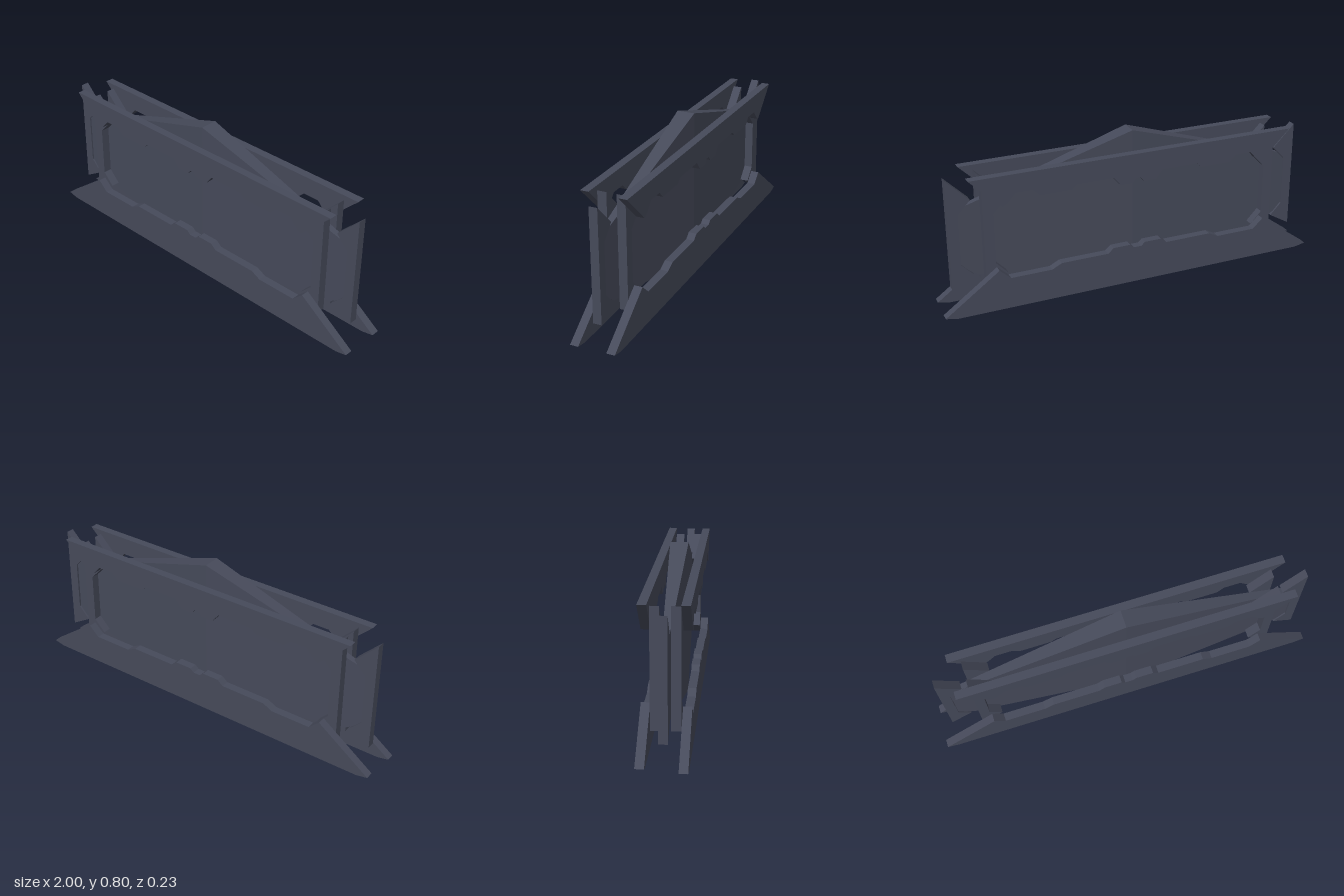
import * as THREE from 'three';

export function createModel() {
  const model = new THREE.Group();
  model.name = 'armouredPanel';
  const steel = new THREE.MeshStandardMaterial({ color: 0x464a5a, flatShading: true });
  steel.name = 'slate steel';

  // Extrude an outline between two depths
  const plate = (name, points, z0, z1, dx = 0, dy = 0) => {
    const shape = new THREE.Shape(points.map(([x, y]) => new THREE.Vector2(x + dx, y + dy)));
    const geo = new THREE.ExtrudeGeometry(shape, { depth: z1 - z0, bevelEnabled: false });
    geo.translate(0, 0, z0);
    const mesh = new THREE.Mesh(geo, steel);
    mesh.name = name;
    model.add(mesh);
    return mesh;
  };
  const flip = (pts) => pts.map(([x, y]) => [-x, y]);
  // Full outline from its right half
  const mirrored = (half) => [...half, ...flip(half).reverse()];

  // Stepped rails along the top and bottom, one pair in front and one behind
  const topRail = mirrored([
    [0.012, 0.577], [0.03, 0.555], [0.095, 0.555], [0.13, 0.599], [0.32, 0.599],
    [0.345, 0.576], [0.505, 0.576], [0.54, 0.61], [0.625, 0.61], [0.665, 0.565],
    [0.69, 0.55], [0.848, 0.703],
  ]);
  const bottomRail = mirrored([
    [0.02, 0.192], [0.04, 0.21], [0.13, 0.21], [0.16, 0.185], [0.405, 0.185],
    [0.455, 0.16], [0.665, 0.16], [0.72, 0.211], [0.995, 0.012], [0.935, 0],
  ]);
  plate('frontTopRail', topRail, 0.074, 0.115, -0.003);
  plate('backTopRail', topRail, -0.115, -0.073, 0.003);
  plate('frontBottomRail', bottomRail, 0.074, 0.115, -0.005);
  plate('backBottomRail', bottomRail, -0.115, -0.073, 0.005, 0.011);

  // Notched uprights: inner posts beside the core and outer end plates
  const upright = [
    [0.78, 0.115], [0.78, 0.683], [0.665, 0.568], [0.73, 0.5], [0.73, 0.24], [0.67, 0.178],
  ];
  for (const [side, pts, sign] of [['left', upright, 1], ['right', flip(upright), -1]]) {
    plate(side + 'FrontPost', pts, 0.025, 0.07, -0.003);
    plate(side + 'BackPost', pts, -0.068, -0.025, -0.003);
    plate(side + 'EndPlate', pts, -0.018, 0.024, sign * 0.155);
  }

  // Core slab: peaked in outline, thickest along its middle
  const half = [[0, 0.027], [0.8, 0.168], [0.89, 0.23], [0.89, 0.525], [0, 0.797]];
  for (const [side, pts] of [['left', half], ['right', flip(half)]]) {
    const core = plate(side + 'Core', pts, -0.045, 0.045);
    const pos = core.geometry.attributes.position;
    for (let i = 0; i < pos.count; i++) {
      pos.setZ(i, pos.getZ(i) * (1 - 0.82 * Math.abs(pos.getX(i))) + 0.004);
    }
    core.geometry.computeVertexNormals();
  }
  return model;
}
